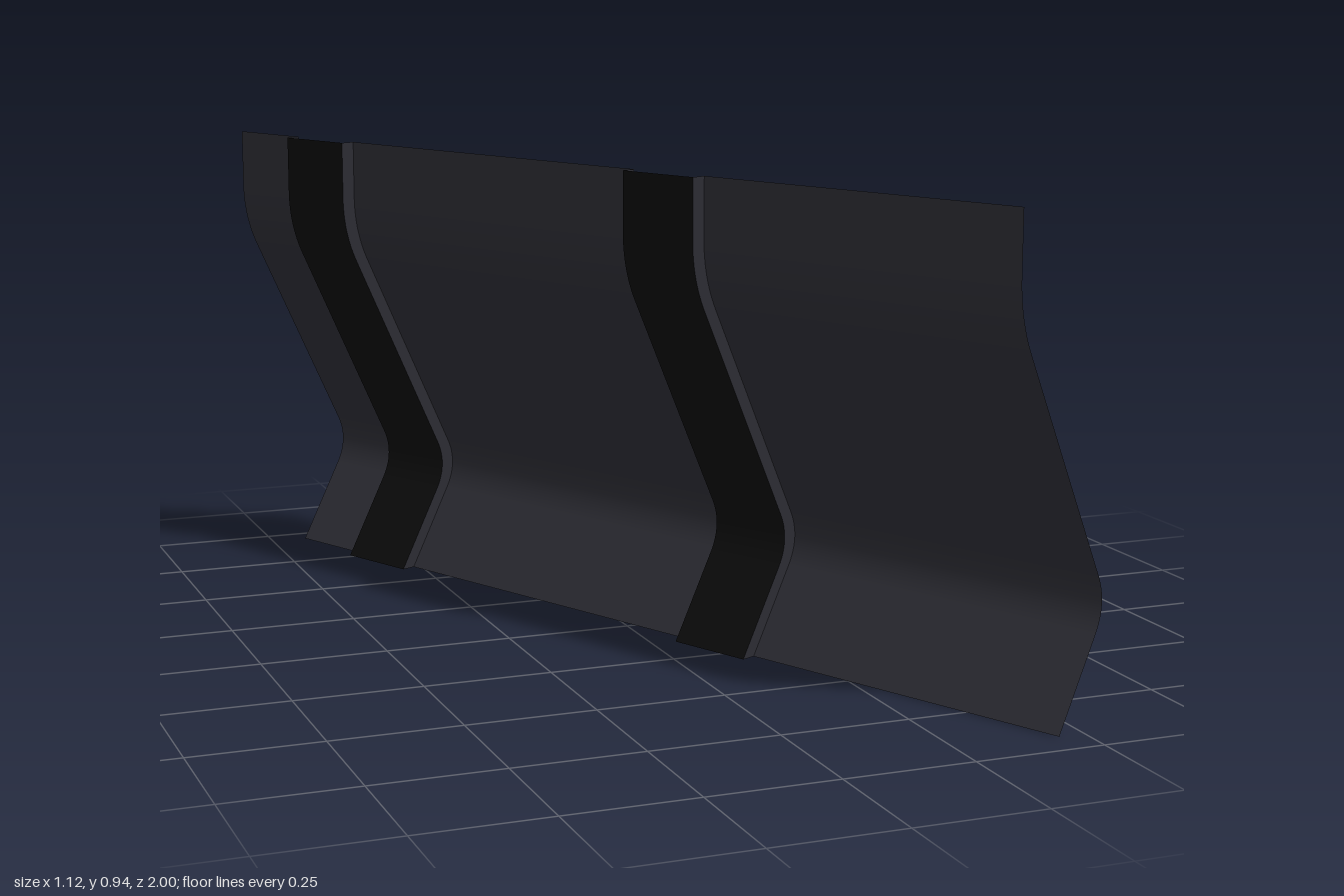
import * as THREE from 'three';

// The panel runs along U; its bent cross-section leans along V (both horizontal).
const U = new THREE.Vector3(0.421, 0, 0.907);
const V = new THREE.Vector3(0.908, 0, -0.419);
const ORIGIN = new THREE.Vector3(-0.56, 0, -0.89);
const LENGTH = 2.078;
const STEP = -0.03; // sideways offset of the raised bands
const BANDS = [[0.196, 0.376], [1.19, 1.368]];

// Bent cross-section as (v, y), from top edge to bottom edge
function profilePoints() {
  const bend = (a, c, b) => new THREE.QuadraticBezierCurve(
    new THREE.Vector2(...a), new THREE.Vector2(...c), new THREE.Vector2(...b)).getPoints(12);
  return [
    new THREE.Vector2(0, 0.94),
    ...bend([0, 0.825], [0, 0.753], [0.033, 0.69]),
    ...bend([0.253, 0.27], [0.281, 0.217], [0.25, 0.165]),
    new THREE.Vector2(0.1485, 0),
  ];
}

// Ribbon between two copies of the profile, each given as [u, sideways offset]
function ribbon(profile, start, end) {
  const pos = [], index = [];
  profile.forEach((p, i) => {
    for (const [u, off] of [start, end]) {
      const q = ORIGIN.clone().addScaledVector(U, u).addScaledVector(V, p.x + off);
      pos.push(q.x, p.y, q.z);
    }
    if (i > 0) {
      const a = 2 * i - 2;
      index.push(a, a + 2, a + 1, a + 1, a + 2, a + 3);
    }
  });
  const g = new THREE.BufferGeometry();
  g.setAttribute('position', new THREE.Float32BufferAttribute(pos, 3));
  g.setIndex(index);
  g.computeVertexNormals();
  return g;
}

export function createModel() {
  const sheet = new THREE.MeshStandardMaterial({ color: 0x2b2b32, side: THREE.DoubleSide });
  sheet.name = 'dark slate';
  const black = new THREE.MeshStandardMaterial({ color: 0x0b0b0b, side: THREE.DoubleSide });
  black.name = 'black';

  const group = new THREE.Group();
  group.name = 'bentPanel';
  const profile = profilePoints();
  const add = (name, material, start, end) => {
    const mesh = new THREE.Mesh(ribbon(profile, start, end), material);
    mesh.name = name;
    group.add(mesh);
  };

  // Sheet sections alternate with offset bands joined by narrow step walls
  let from = 0;
  for (const [a, b] of BANDS) {
    add('sheetSection', sheet, [from, 0], [a, 0]);
    add('stepWall', sheet, [a, 0], [a, STEP]);
    add('raisedBand', black, [a, STEP], [b, STEP]);
    add('stepWall', sheet, [b, STEP], [b, 0]);
    from = b;
  }
  add('sheetSection', sheet, [from, 0], [LENGTH, 0]);
  return group;
}
